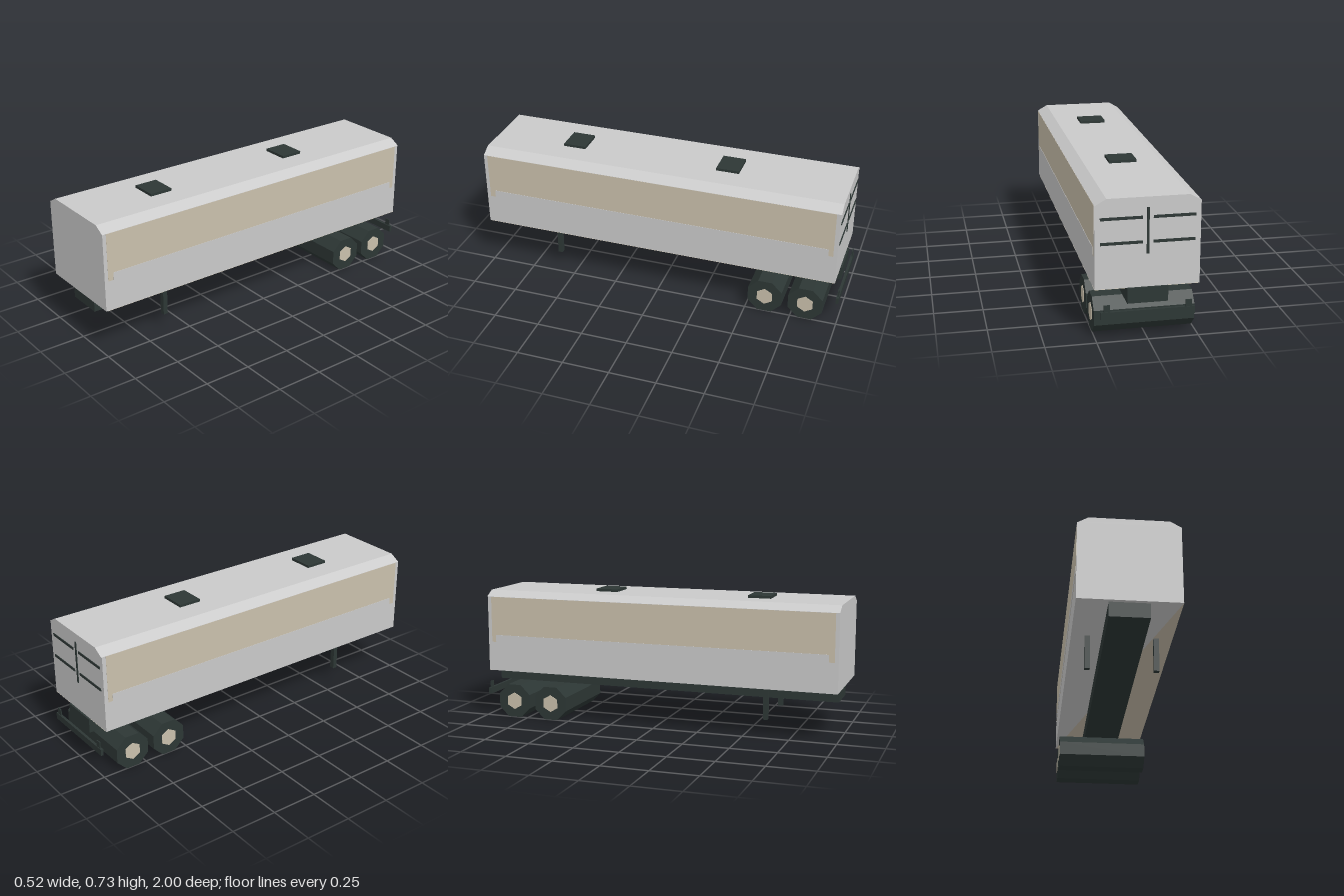
import * as THREE from 'three';

export function createModel() {
  const group = new THREE.Group();
  const mat = (name, color) => {
    const m = new THREE.MeshStandardMaterial({ color });
    m.name = name;
    return m;
  };
  const grey = mat('light grey panel', 0xcacaca);
  const tan = mat('tan panel', 0xcac0ac);
  const dark = mat('dark metal', 0x2d3735);

  const add = (name, geometry, material) => {
    const mesh = new THREE.Mesh(geometry, material);
    mesh.name = name;
    group.add(mesh);
    return mesh;
  };
  // Box given by its limits on each axis
  const box = (name, material, [x0, x1], [y0, y1], [z0, z1]) => {
    const mesh = add(name, new THREE.BoxGeometry(x1 - x0, y1 - y0, z1 - z0), material);
    mesh.position.set((x0 + x1) / 2, (y0 + y1) / 2, (z0 + z1) / 2);
    return mesh;
  };
  // Same box mirrored to both sides
  const pair = (name, material, [x0, x1], y, z) => {
    box(name + 'Left', material, [x0, x1], y, z);
    box(name + 'Right', material, [-x1, -x0], y, z);
  };
  const polygon = (points) => new THREE.Shape(points.map(([x, y]) => new THREE.Vector2(x, y)));

  // Cargo box and roof with sloped edges
  const W = 0.256;
  box('cargoBody', grey, [-W, W], [0.263, 0.68], [-0.976, 1]);
  const roofShape = polygon([[-W, 0.68], [W, 0.68], [0.2, 0.712], [-0.2, 0.712]]);
  const roof = new THREE.ExtrudeGeometry(roofShape, { depth: 1.98, bevelEnabled: false });
  add('roof', roof.translate(0, 0, -0.98), grey);

  // Tan half of the underside, split along the diagonal
  const under = new THREE.ShapeGeometry(polygon([[W, 1], [-W, -0.976], [W, -0.976]]).clone());
  under.rotateX(Math.PI / 2).translate(0, 0.2615, 0);
  const floor = add('underside', under, tan);
  floor.material.side = THREE.DoubleSide;

  // Side panels and the long rails along their lower edge
  pair('sidePanel', tan, [W - 0.002, W + 0.001], [0.425, 0.679], [-0.955, 0.98]);
  pair('sideRail', grey, [W - 0.002, W + 0.0025], [0.425, 0.465], [-0.93, 0.95]);

  // Roof hatches
  for (const z of [0.537, -0.333]) {
    box('roofHatch', dark, [-0.072, 0.072], [0.71, 0.726], [z - 0.0625, z + 0.0625]);
  }

  // Rear door seam and hinge bars
  const doorZ = [-0.98, -0.974];
  box('doorSeam', dark, [-0.006, 0.006], [0.43, 0.66], doorZ);
  for (const y of [0.612, 0.49]) {
    pair('doorBar', dark, [0.026, 0.23], [y - 0.007, y + 0.007], doorZ);
  }

  // Chassis and landing legs
  box('chassis', dark, [-0.1, 0.1], [0.185, 0.263], [-0.986, 0.98]);
  pair('landingLeg', dark, [0.16, 0.187], [0.083, 0.263], [0.595, 0.62]);

  // Eight-sided wheel rollers with six-sided hubs
  for (const z of [-0.607, -0.828]) {
    const wheel = new THREE.CylinderGeometry(0.1003, 0.1003, 0.5, 8);
    wheel.rotateY(Math.PI / 8).rotateZ(Math.PI / 2);
    const tyre = add('wheel', wheel.toNonIndexed(), dark);
    tyre.geometry.computeVertexNormals();
    tyre.position.set(0, 0.0927, z);
    for (const side of [-1, 1]) {
      const hub = new THREE.CylinderGeometry(0.048, 0.048, 0.006, 6);
      hub.rotateY(Math.PI / 2).rotateZ(Math.PI / 2);
      const cap = add('wheelHub', hub.toNonIndexed(), tan);
      cap.geometry.computeVertexNormals();
      cap.position.set(side * 0.2495, 0.0927, z);
    }
  }

  // Rear bumper with two short uprights
  box('rearBumper', dark, [-0.23, 0.23], [0.117, 0.153], [-1, -0.986]);
  pair('bumperUpright', dark, [0.185, 0.215], [0.13, 0.188], [-0.997, -0.991]);

  return group;
}
